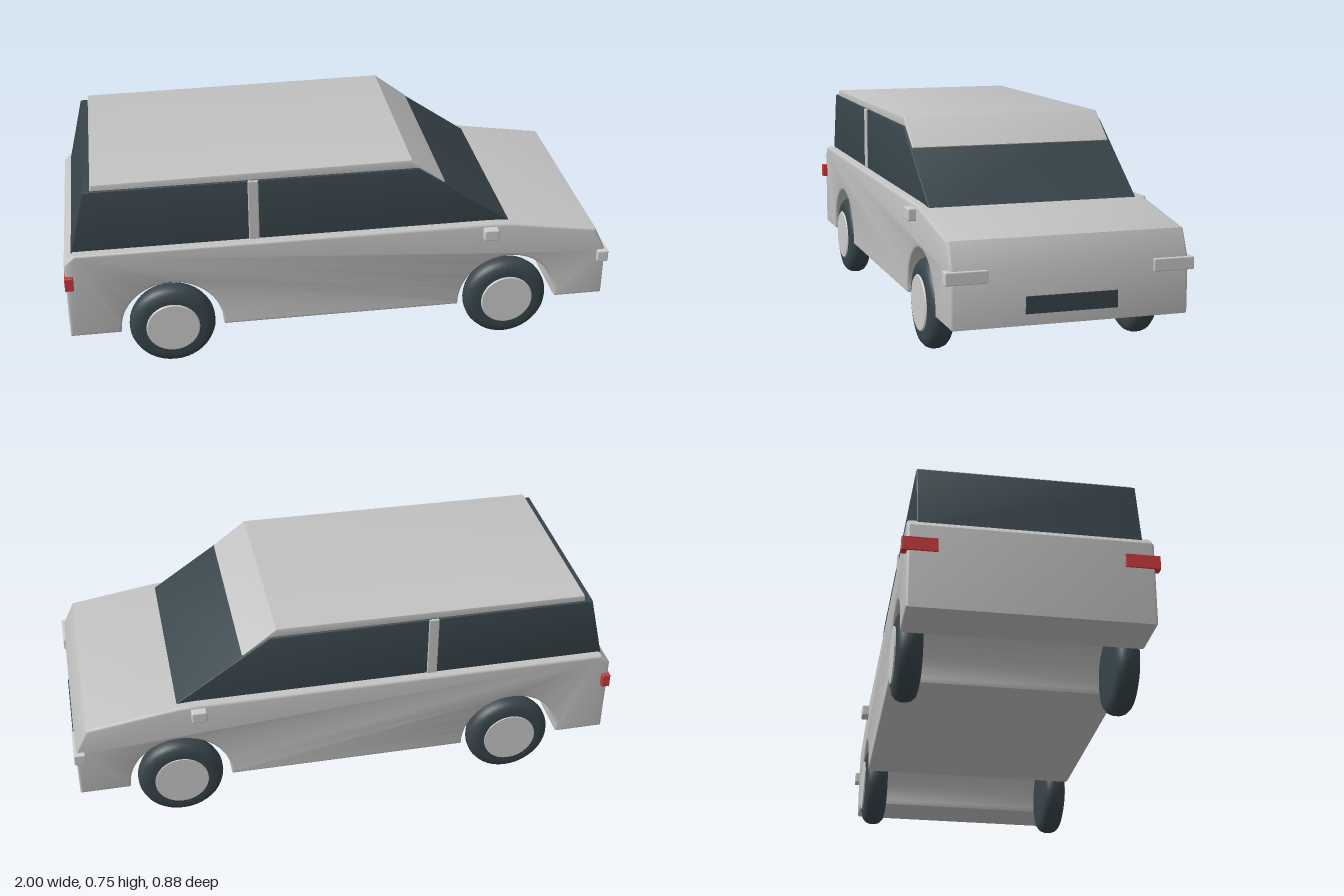
import * as THREE from 'three';
import { toCreasedNormals } from 'three/addons/utils/BufferGeometryUtils.js';
import { RoundedBoxGeometry } from 'three/addons/geometries/RoundedBoxGeometry.js';

const material = (name, color) => Object.assign(new THREE.MeshStandardMaterial({ color }), { name });

export function createModel() {
  const paint = material('silver paint', 0xc2c2c2);
  const trim = material('light trim', 0xcccccc);
  const dark = material('dark glass and rubber', 0x38454b);
  const red = material('red lamp', 0xc83a3c);

  const car = new THREE.Group();
  car.name = 'car';

  const add = (name, geometry, mat, x = 0, y = 0, z = 0) => {
    const mesh = new THREE.Mesh(geometry, mat);
    mesh.name = name;
    mesh.position.set(x, y, z);
    car.add(mesh);
    return mesh;
  };
  const box = (name, mat, [x0, x1], [y0, y1], [z0, z1], r = 0.006) =>
    add(name, new RoundedBoxGeometry(x1 - x0, y1 - y0, z1 - z0, 2, r), mat,
      (x0 + x1) / 2, (y0 + y1) / 2, (z0 + z1) / 2);

  // Side profile extruded across the car, with a small bevel kept inside the outline
  const across = (shape, halfWidth, bevel) => {
    const geometry = new THREE.ExtrudeGeometry(shape, {
      depth: 2 * (halfWidth - bevel), curveSegments: 28,
      bevelSize: bevel, bevelThickness: bevel, bevelOffset: -bevel, bevelSegments: 3,
    });
    geometry.translate(0, 0, bevel - halfWidth);
    return toCreasedNormals(geometry, 0.6);
  };
  const polygon = (points) => new THREE.Shape(points.map(([x, y]) => new THREE.Vector2(x, y)));

  // Lower body with wheel arches cut right through
  const axles = [-0.63, 0.62];
  const side = new THREE.Shape();
  side.moveTo(-1, 0.153);
  for (const x of axles) {
    side.lineTo(x - 0.188, 0.153);
    side.absarc(x, 0.162, 0.186, Math.PI, 0, true);
    side.lineTo(x + 0.188, 0.153);
  }
  side.lineTo(0.99, 0.153);
  side.lineTo(0.99, 0.34);
  side.lineTo(0.945, 0.436);
  side.lineTo(0.62, 0.486);
  side.lineTo(0.55, 0.49);
  side.lineTo(-0.965, 0.49);
  side.lineTo(-1, 0.455);
  add('body', across(side, 0.412, 0.01), paint);

  // Glasshouse
  add('windows', across(polygon([
    [-0.976, 0.47], [0.64, 0.47], [0.275, 0.724], [-0.915, 0.724],
  ]), 0.379, 0.004), dark);

  // Roof panel folding down over the top of the windscreen
  add('roof', across(polygon([
    [-0.89, 0.715], [0.26, 0.715], [0.365, 0.65], [0.374, 0.66], [0.25, 0.756], [-0.885, 0.746],
  ]), 0.371, 0.004), paint);

  // Number plate
  add('numberPlate', new THREE.BoxGeometry(0.009, 0.058, 0.318), dark, 0.9915, 0.221, 0);

  // Wheel profiles turned about the axle
  const lathe = (points) => {
    const geometry = new THREE.LatheGeometry(points.map(([r, y]) => new THREE.Vector2(r, y)), 40);
    geometry.rotateX(Math.PI / 2);
    return geometry;
  };
  const tyre = lathe([
    [0, -0.045], [0.115, -0.045], [0.138, -0.039], [0.151, -0.027], [0.157, -0.01],
    [0.157, 0.01], [0.151, 0.027], [0.138, 0.039], [0.115, 0.045], [0, 0.045],
  ]);
  const hub = toCreasedNormals(lathe([
    [0, -0.01], [0.098, -0.01], [0.098, 0.006], [0.094, 0.01], [0, 0.01],
  ]), 0.6);

  for (const s of [1, -1]) {
    const name = s > 0 ? 'left' : 'right';
    const span = (a, b) => (s > 0 ? [a, b] : [-b, -a]);
    box(name + 'Pillar', paint, [-0.34, -0.302], [0.485, 0.724], span(0.36, 0.384), 0.004);
    box(name + 'Mirror', trim, [0.515, 0.57], [0.434, 0.479], span(0.40, 0.44));
    box(name + 'Headlight', trim, [0.956, 0.997], [0.302, 0.346], span(0.286, 0.43), 0.004);
    box(name + 'TailLight', red, [-1.003, -0.972], [0.358, 0.409], span(0.31, 0.43), 0.003);
    for (const x of axles) {
      const end = x > 0 ? 'Front' : 'Rear';
      add(name + end + 'Tyre', tyre, dark, x, 0.158, s * 0.37);
      add(name + end + 'Hubcap', hub, trim, x, 0.16, s * 0.41);
    }
  }
  return car;
}
